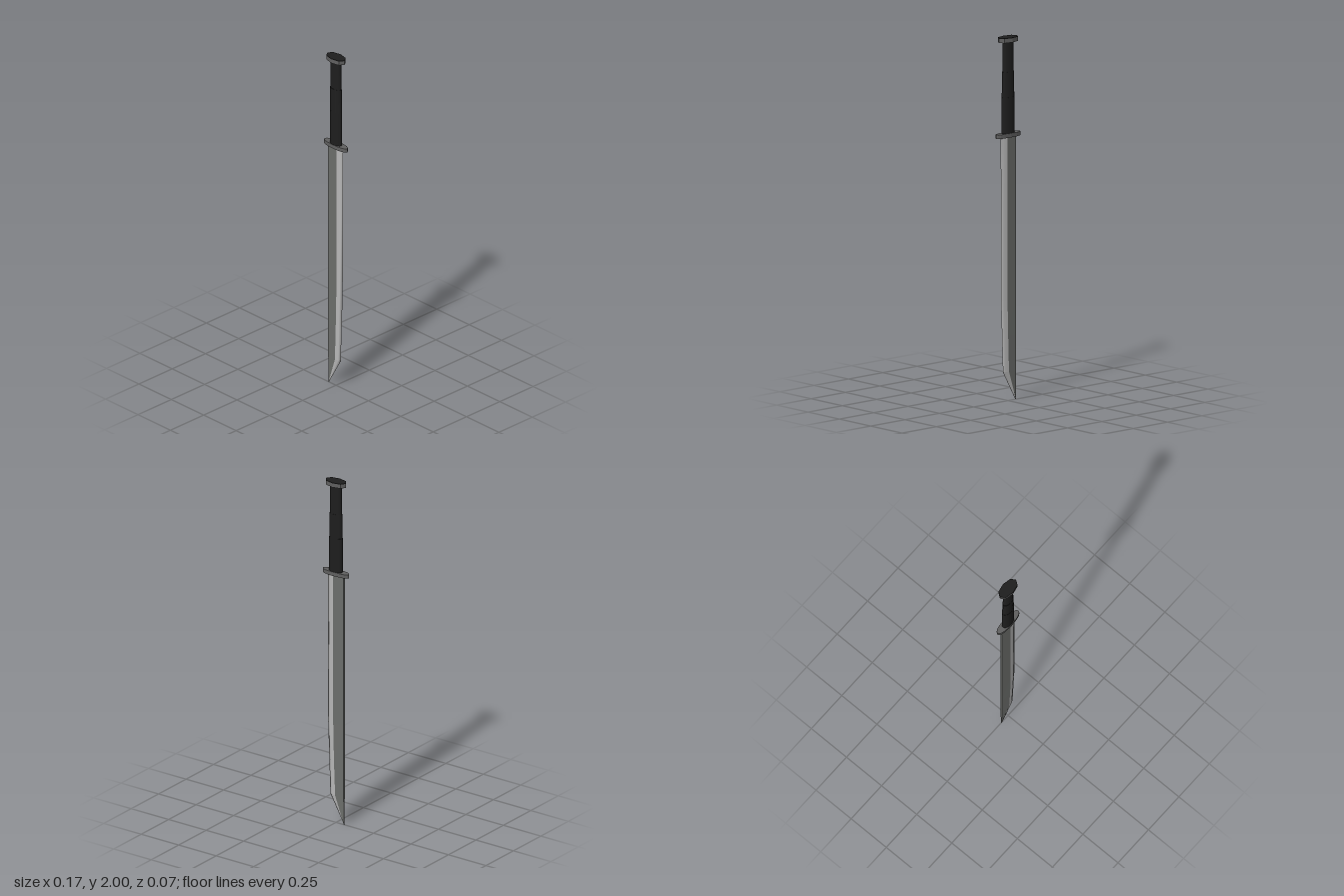
import * as THREE from 'three';

const mat = (name, color, extra = {}) => Object.assign(new THREE.MeshStandardMaterial({ color, ...extra }), { name });

// Surface through rows of points, running top to bottom
function loft(rows, flat) {
  const n = rows[0].length, index = [];
  for (let i = 0; i < rows.length - 1; i++) {
    for (let j = 0; j < n - 1; j++) {
      const a = i * n + j, b = a + n;
      index.push(a, b, a + 1, a + 1, b, b + 1);
    }
  }
  let g = new THREE.BufferGeometry();
  g.setAttribute('position', new THREE.Float32BufferAttribute(rows.flat(2), 3));
  g.setIndex(index);
  if (flat) g = g.toNonIndexed();
  g.computeVertexNormals();
  return g;
}

// Upright plate with a four-way symmetric outline, from a quarter outline
function plate(quarter, y0, y1) {
  const back = [...quarter].reverse();
  const pts = [
    ...quarter,
    ...back.slice(1).map(([x, z]) => [-x, z]),
    ...quarter.slice(1).map(([x, z]) => [-x, -z]),
    ...back.slice(1, -1).map(([x, z]) => [x, -z]),
  ].map(([x, z]) => new THREE.Vector2(x, z));
  const g = new THREE.ExtrudeGeometry(new THREE.Shape(pts), { depth: y1 - y0, bevelEnabled: false });
  return g.rotateX(-Math.PI / 2).translate(0, y0, 0);
}

export function createModel() {
  const group = new THREE.Group();
  const steel = mat('dark steel', 0x6c6e6b, { side: THREE.DoubleSide });
  const edgeSteel = mat('polished edge', 0xb8b8b8, { side: THREE.DoubleSide });
  const iron = mat('iron', 0x606060);
  const black = mat('black grip', 0x1e1e1e);

  const add = (name, geometry, material) => {
    const m = new THREE.Mesh(geometry, material);
    m.name = name;
    group.add(m);
  };

  // Blade stations: y, ridge x, edge x, half thickness
  const spine = -0.055;
  const stations = [
    [1.46, 0.012, 0.053, 0.009],
    [0.58, 0.012, 0.052, 0.009],
    [0.36, 0.007, 0.044, 0.009],
    [0.16, 0.0, 0.037, 0.008],
    [0.0, spine, spine, 0.003],
  ];
  const bodyRow = ([y, r, , t]) => [[r, y, -t], [spine, y, -t * 0.6], [spine, y, t * 0.6], [r, y, t]];
  const edgeRow = ([y, r, e, t]) => {
    const mid = r + (e - r) * 0.6;
    return [[r, y, t], [mid, y, t * 0.75], [e, y, 0], [mid, y, -t * 0.75], [r, y, -t]];
  };
  add('bladeBody', loft(stations.map(bodyRow), true), steel);
  add('bladeEdge', loft(stations.slice(0, 4).map(edgeRow)), edgeSteel);
  add('bladeTipEdge', loft(stations.slice(3).map(edgeRow)), edgeSteel);

  // Guard and pommel
  add('guard', plate([[0.087, 0], [0.08, 0.011], [0.066, 0.018], [0.045, 0.022], [0, 0.025]], 1.45, 1.472), iron);
  const pommel = [[0.066, 0], [0.048, 0.026], [0, 0.036]];
  add('pommel', plate(pommel, 1.974, 1.997), iron);
  add('pommelCap', plate(pommel, 1.997, 2.0), black);

  // Oval grip, slightly thicker toward the guard
  for (const [name, y0, y1, top, bottom] of [
    ['lowerGrip', 1.47, 1.67, 0.042, 0.042],
    ['middleGrip', 1.67, 1.81, 0.039, 0.041],
    ['upperGrip', 1.81, 1.976, 0.036, 0.037],
  ]) {
    const g = new THREE.CylinderGeometry(top, bottom, y1 - y0, 16);
    add(name, g.scale(1, 1, 0.56).translate(0, (y0 + y1) / 2, 0), black);
  }
  return group;
}
